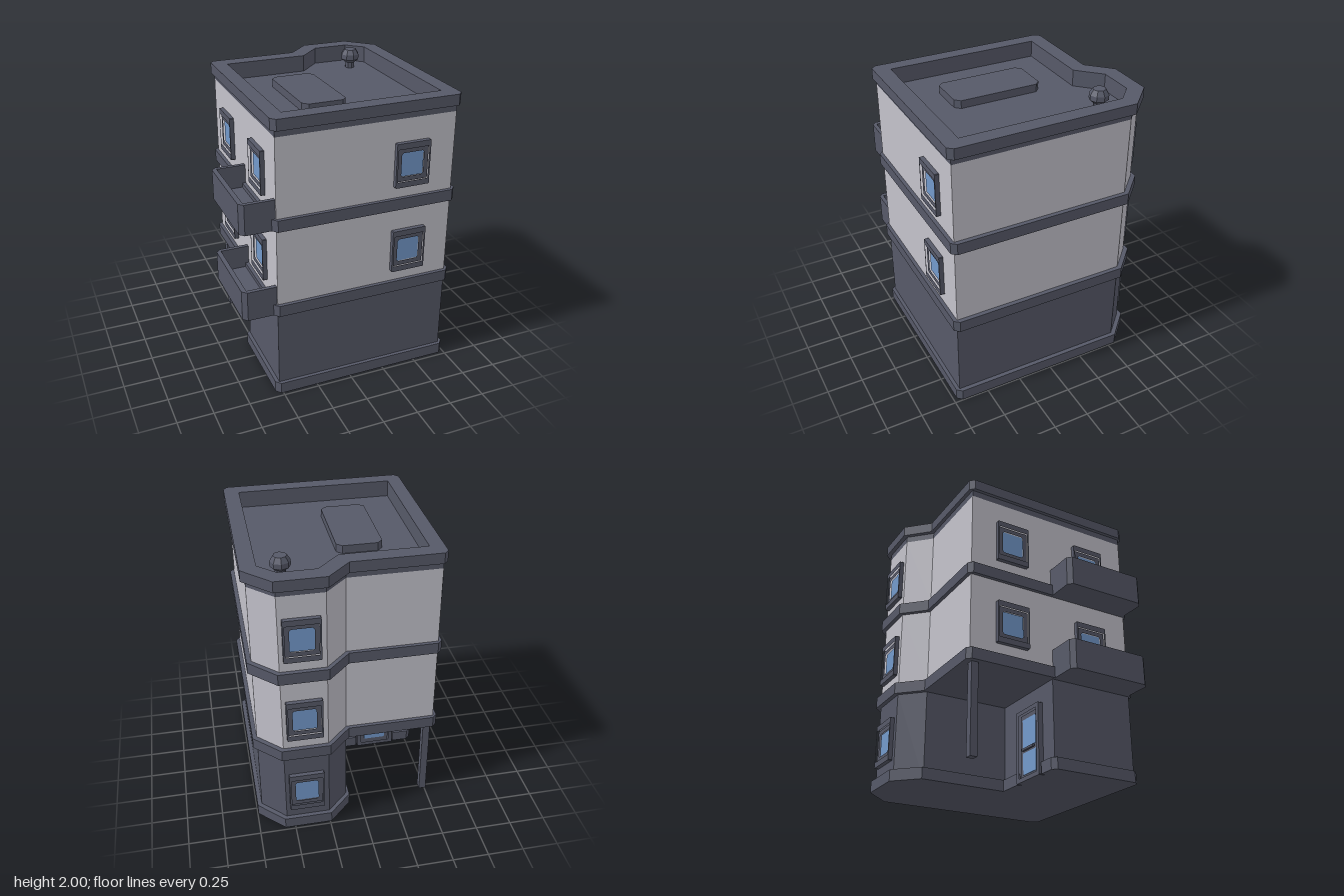
import * as THREE from 'three';

const slate = new THREE.MeshStandardMaterial({ color: 0x565968 });
slate.name = 'slate trim';
const plaster = new THREE.MeshStandardMaterial({ color: 0xc3c2cb });
plaster.name = 'pale plaster';
const glass = new THREE.MeshStandardMaterial({ color: 0x7399cb });
glass.name = 'blue glass';

// Plan outlines as [x, z] points
const WALL = [[-0.52, 0.70], [0.715, 0.70], [0.715, -0.54], [0.555, -0.70], [0.25, -0.70], [0.10, -0.55], [-0.52, -0.55]];
const BAND = [[-0.545, 0.69], [-0.515, 0.725], [0.715, 0.725], [0.745, 0.69], [0.745, -0.555], [0.57, -0.73],
  [0.24, -0.73], [0.085, -0.575], [-0.515, -0.575], [-0.545, -0.545]];
const ROOF = [[-0.445, 0.615], [0.64, 0.615], [0.64, -0.515], [0.53, -0.62], [0.285, -0.62], [0.13, -0.465], [-0.445, -0.465]];
// Ground floor leaves an open porch at the back corner
const GROUND = [...WALL.slice(0, 5), [0.10, -0.55], [0.10, 0.07], [-0.52, 0.07]];
const PLINTH = [...BAND.slice(0, 7), [0.08, -0.57], [0.08, 0.045], [-0.10, 0.045], [-0.10, 0.075],
  [-0.40, 0.075], [-0.40, 0.045], [-0.515, 0.045], [-0.545, 0.075]];

const toPath = (pts, Kind) => new Kind(pts.map(([x, z]) => new THREE.Vector2(x, -z)));

function add(parent, name, geometry, material, x = 0, y = 0, z = 0) {
  const mesh = new THREE.Mesh(geometry, material);
  mesh.name = name;
  mesh.position.set(x, y, z);
  parent.add(mesh);
  return mesh;
}

// Vertical prism over a plan outline, optionally with a hole
function prism(parent, name, pts, y0, y1, material, hole) {
  const shape = toPath(pts, THREE.Shape);
  if (hole) shape.holes.push(toPath(hole, THREE.Path));
  const g = new THREE.ExtrudeGeometry(shape, { depth: y1 - y0, bevelEnabled: false });
  g.rotateX(-Math.PI / 2);
  return add(parent, name, g, material, 0, y0, 0);
}

// Rectangle with cut corners
function cutRect(w, h, c) {
  const a = w / 2, b = h / 2;
  return [[-a + c, -b], [a - c, -b], [a, -b + c], [a, b - c], [a - c, b], [-a + c, b], [-a, b - c], [-a, -b + c]];
}

// Upright frame facing +z
function frame(parent, name, w, h, hw, hh, depth, cut, y = 0) {
  const shape = toPath(cutRect(w, h, 0.004), THREE.Shape);
  shape.holes.push(toPath(cutRect(hw, hh, cut), THREE.Path));
  return add(parent, name, new THREE.ExtrudeGeometry(shape, { depth, bevelEnabled: false }), slate, 0, y, 0);
}

function makeWindow(parent, x, y, z, angle) {
  const w = new THREE.Group();
  w.name = 'window';
  frame(w, 'windowSurround', 0.242, 0.305, 0.218, 0.225, 0.03, 0.004);
  frame(w, 'windowSash', 0.22, 0.227, 0.158, 0.165, 0.018, 0.012);
  add(w, 'windowPane', new THREE.BoxGeometry(0.165, 0.17, 0.008), glass, 0, 0, 0.003);
  w.position.set(x, y, z);
  w.rotation.y = angle;
  parent.add(w);
}

function makeBalcony(parent, y) {
  const b = new THREE.Group();
  b.name = 'balcony';
  const outer = [[-0.52, 0.69], [-0.72, 0.69], [-0.75, 0.66], [-0.75, 0.105], [-0.72, 0.075], [-0.52, 0.075]];
  // U-shaped parapet
  const rail = [...outer, [-0.52, 0.103], [-0.718, 0.103], [-0.718, 0.662], [-0.52, 0.662]];
  prism(b, 'balconyParapet', rail, y, y + 0.21, slate);
  prism(b, 'balconyFloor', outer, y, y + 0.05, slate);
  parent.add(b);
}

export function createModel() {
  const model = new THREE.Group();
  model.name = 'apartmentBuilding';

  // Storeys and bands
  prism(model, 'plinth', PLINTH, 0, 0.08, slate);
  prism(model, 'groundFloor', GROUND, 0, 0.63, slate);
  for (const y of [0.62, 1.24]) {
    prism(model, 'floorBand', BAND, y, y + 0.08, slate);
    prism(model, 'upperStorey', WALL, y + 0.08, y + 0.62, plaster);
    makeBalcony(model, y);
  }

  // Roof edge and deck
  prism(model, 'cornice', WALL, 1.86, 1.91, slate, ROOF);
  prism(model, 'roofParapet', BAND, 1.905, 1.98, slate, ROOF);
  prism(model, 'roofDeck', ROOF, 1.855, 1.865, slate);
  const hatch = cutRect(0.305, 0.62, 0.035).map(([x, z]) => [x - 0.055, z + 0.073]);
  prism(model, 'roofHatch', hatch, 1.86, 1.92, slate);

  // Roof vent with an octagonal cap
  const profile = [[0.035, 0], [0.035, 0.045], [0.066, 0.07], [0.066, 0.105], [0.044, 0.14], [0, 0.14]]
    .map(([r, y]) => new THREE.Vector2(r, y));
  const vent = new THREE.LatheGeometry(profile, 8).toNonIndexed();
  vent.computeVertexNormals();
  add(model, 'roofVent', vent, slate, 0.488, 1.86, -0.44);

  // Windows on the front, the back bay and the balcony side
  for (const y of [0.932, 1.552]) {
    makeWindow(model, 0.407, y, 0.70, 0);
    for (const z of [-0.24, 0.385]) makeWindow(model, -0.52, y, z, -Math.PI / 2);
  }
  for (const y of [0.312, 0.932, 1.552]) makeWindow(model, 0.407, y, -0.70, Math.PI);

  // Porch post
  add(model, 'porchPost', new THREE.BoxGeometry(0.05, 0.63, 0.05), slate, -0.485, 0.315, -0.505);

  // Glazed entrance door inside the porch
  const door = new THREE.Group();
  door.name = 'entranceDoor';
  frame(door, 'doorFrame', 0.28, 0.5, 0.22, 0.44, 0.035, 0.004, 0.25);
  add(door, 'doorLeaf', new THREE.BoxGeometry(0.22, 0.46, 0.02), slate, 0, 0.24, 0.005);
  for (const [y, h] of [[0.125, 0.15], [0.335, 0.2]])
    add(door, 'doorPane', new THREE.BoxGeometry(0.16, h, 0.008), glass, 0, y, 0.015);
  add(door, 'doorHandle', new THREE.BoxGeometry(0.14, 0.015, 0.015), slate, 0, 0.218, 0.03);
  door.position.set(-0.25, 0, 0.07);
  door.rotation.y = Math.PI;
  model.add(door);

  return model;
}
